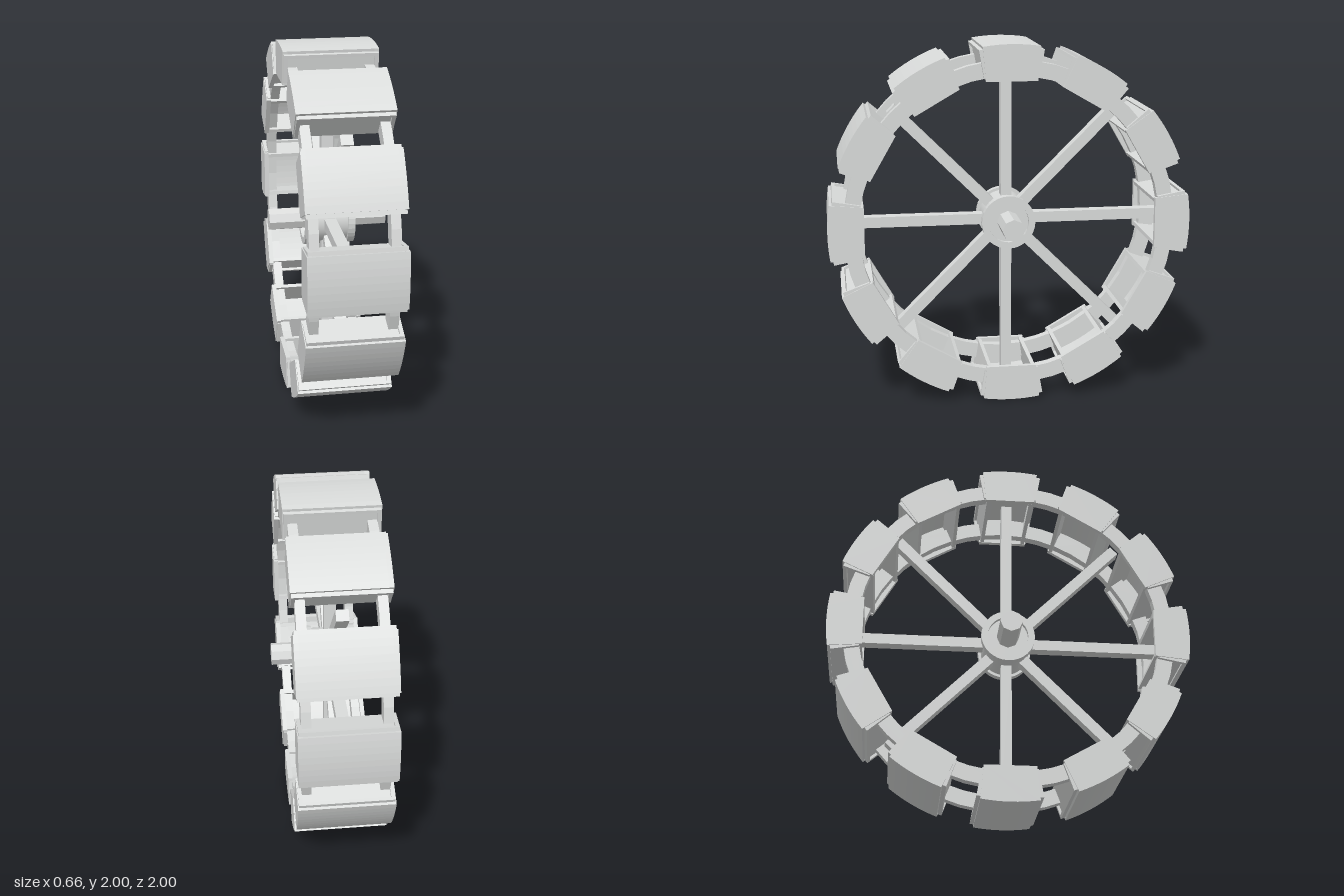
import * as THREE from 'three';

const grey = new THREE.MeshStandardMaterial({ color: 0xdadcdb });
grey.name = 'plain grey';

// Point at a radius and an angle (degrees) measured from straight up
const polar = (r, deg) => {
  const a = THREE.MathUtils.degToRad(deg);
  return new THREE.Vector2(r * Math.sin(a), r * Math.cos(a));
};

const arc = (r, from, to, n) =>
  Array.from({ length: n + 1 }, (_, i) => polar(r, from + ((to - from) * i) / n));

const circle = (r, n) => arc(r, 0, 360 - 360 / n, n - 1);

// Extrude a wheel-plane outline between x0 and x1 along the axle
function slab(points, x0, x1, hole) {
  const shape = new THREE.Shape(points);
  if (hole) shape.holes.push(new THREE.Path([...hole].reverse()));
  const geo = new THREE.ExtrudeGeometry(shape, { depth: x1 - x0, bevelEnabled: false });
  return geo.translate(0, 0, x0).rotateY(Math.PI / 2);
}

function add(parent, name, geo) {
  const mesh = new THREE.Mesh(geo, grey);
  mesh.name = name;
  parent.add(mesh);
  return mesh;
}

// Four-sided outline between two radii and two angles
const sector = (r0, r1, a0, a1) => [polar(r1, a0), polar(r1, a1), polar(r0, a1), polar(r0, a0)];

export function createModel() {
  const model = new THREE.Group();
  model.name = 'waterWheel';
  const wheel = new THREE.Group();
  wheel.name = 'wheel';
  wheel.position.y = 1;
  model.add(wheel);

  // Bucket: cheeks and a curved outer floor, open towards the axle
  const outer = arc(1, -9, 9, 8);
  const cheekShape = [...outer, new THREE.Vector2(0.14, 0.802), new THREE.Vector2(-0.14, 0.802)];
  const floorShape = [...outer, ...arc(0.965, 9, -9, 8)];
  const bucketParts = [
    ['bucketCheekLeft', slab(cheekShape, 0.232, 0.258)],
    ['bucketCheekRight', slab(cheekShape, -0.258, -0.232)],
    ['bucketFloor', slab(floorShape, -0.235, 0.235)],
  ];
  // End walls, each with a raised three-sided frame
  for (const s of [-1, 1]) {
    const side = s > 0 ? 'Front' : 'Back';
    const strip = sector(0.83, 0.985, s * 8.5, s * 10.3);
    bucketParts.push(
      ['bucketWall' + side, slab(sector(0.812, 0.975, s * 7.9, s * 9.4), -0.235, 0.235)],
      ['bucketFrameTop' + side, slab(sector(0.967, 0.985, s * 8.5, s * 10.3), -0.232, 0.232)],
      ['bucketFrameLeft' + side, slab(strip, 0.232, 0.253)],
      ['bucketFrameRight' + side, slab(strip, -0.253, -0.232)],
    );
  }
  for (let i = 0; i < 12; i++) {
    const bucket = new THREE.Group();
    bucket.name = 'bucket';
    bucket.rotation.x = (i * Math.PI) / 6;
    for (const [name, geo] of bucketParts) add(bucket, name, geo);
    wheel.add(bucket);
  }

  // Two rims carrying the buckets
  add(wheel, 'rimLeft', slab(circle(0.915, 48), 0.182, 0.234, circle(0.83, 48)));
  add(wheel, 'rimRight', slab(circle(0.915, 48), -0.234, -0.182, circle(0.83, 48)));

  // Eight spokes
  const spokeGeo = new THREE.BoxGeometry(0.066, 0.8, 0.06).translate(0, 0.5, 0);
  for (let i = 0; i < 8; i++) add(wheel, 'spoke', spokeGeo).rotation.x = (i * Math.PI) / 4;

  // Hub with a raised collar at each end
  add(wheel, 'hub', new THREE.CylinderGeometry(0.135, 0.135, 0.23, 32).rotateZ(Math.PI / 2));
  add(wheel, 'collarLeft', slab(circle(0.15, 32), 0.1, 0.14, circle(0.113, 32)));
  add(wheel, 'collarRight', slab(circle(0.15, 32), -0.14, -0.1, circle(0.113, 32)));

  // Eight-sided axle
  add(wheel, 'axle', slab(circle(0.062, 8), -0.33, 0.33));

  return model;
}
